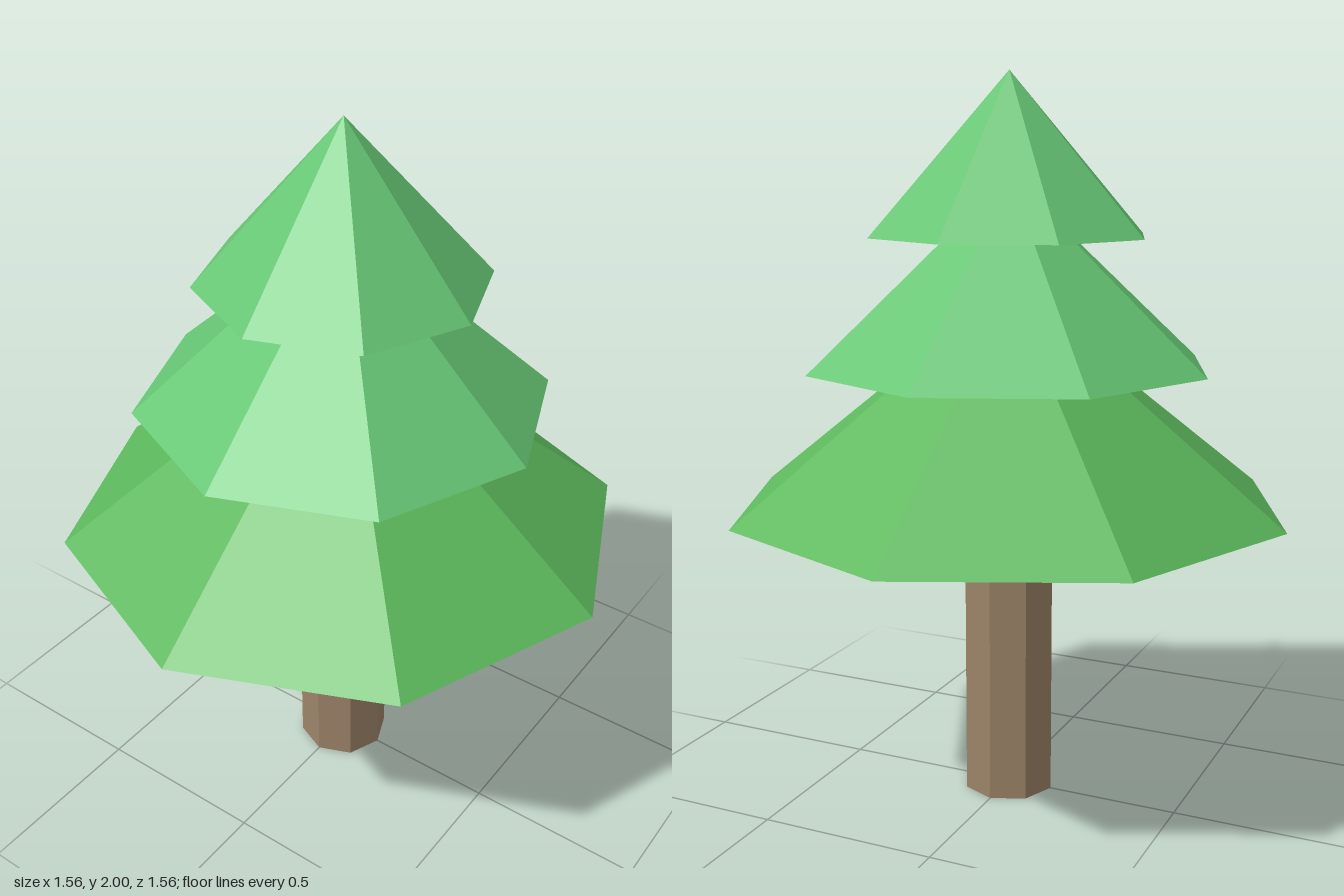
import * as THREE from 'three';

const SIDES = 8;

function flatMaterial(color) {
  return new THREE.MeshStandardMaterial({ color, flatShading: true });
}

export function createModel() {
  const tree = new THREE.Group();
  tree.name = 'pineTree';

  // Straight octagonal trunk, ending just inside the lowest tier
  const trunkHeight = 0.84;
  const trunk = new THREE.Mesh(
    new THREE.CylinderGeometry(0.13, 0.13, trunkHeight, SIDES),
    flatMaterial(0x9c8468)
  );
  trunk.name = 'trunk';
  trunk.position.y = trunkHeight / 2;
  tree.add(trunk);

  // Overlapping foliage cones, each turned very slightly
  const tiers = [
    { name: 'lowerFoliage', base: 0.83, apex: 1.44, radius: 0.78, turn: 0.014, color: 0x5cb85c },
    { name: 'middleFoliage', base: 1.22, apex: 1.73, radius: 0.563, turn: -0.013, color: 0x66c674 },
    { name: 'upperFoliage', base: 1.57, apex: 2.0, radius: 0.388, turn: -0.042, color: 0x66c674 },
  ];
  for (const { name, base, apex, radius, turn, color } of tiers) {
    const tier = new THREE.Mesh(
      new THREE.ConeGeometry(radius, apex - base, SIDES),
      flatMaterial(color)
    );
    tier.name = name;
    tier.position.y = (base + apex) / 2;
    tier.rotation.y = turn;
    tree.add(tier);
  }

  return tree;
}
